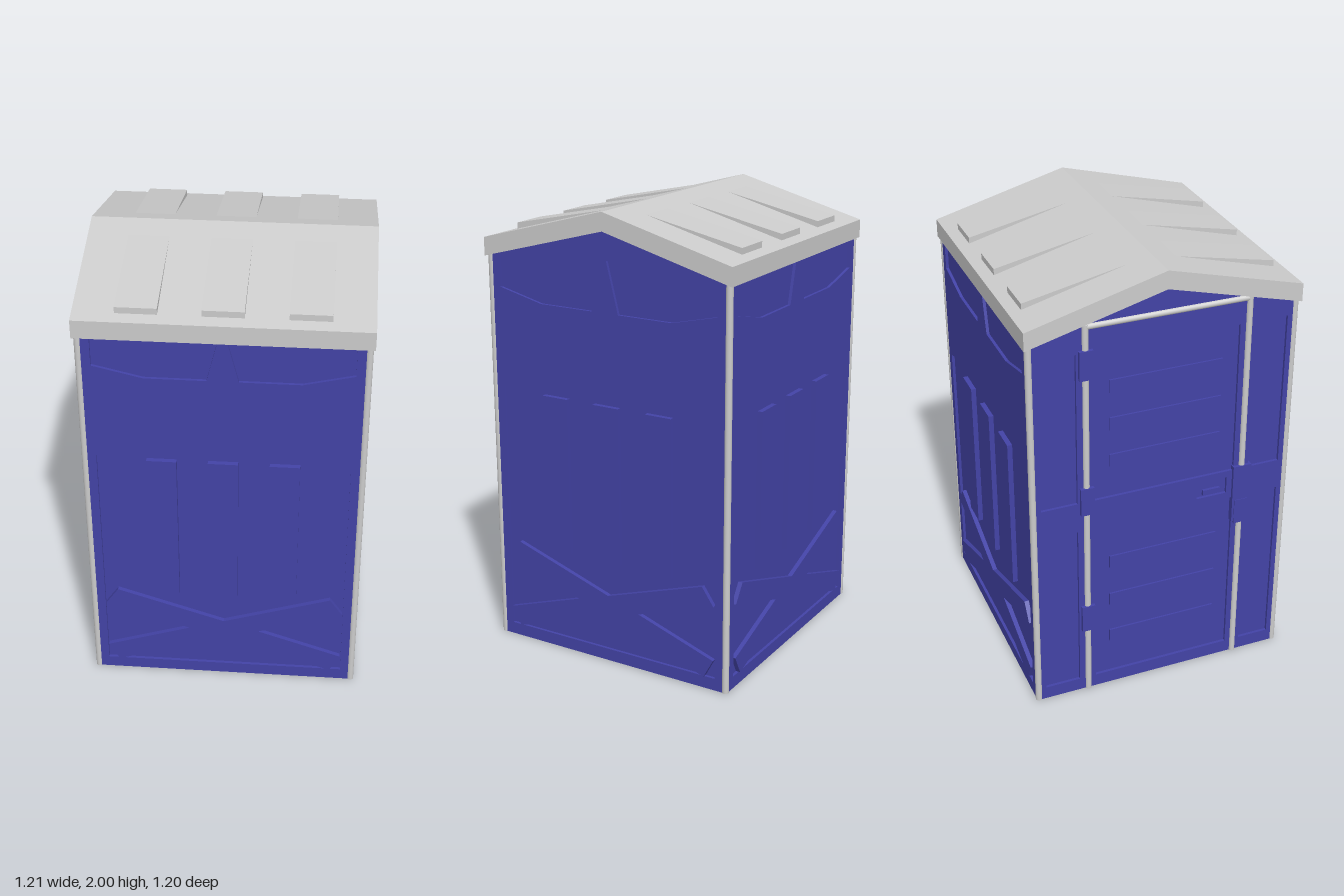
import * as THREE from 'three';

const grey = new THREE.MeshStandardMaterial({ color: 0xcccccc });
const blue = new THREE.MeshStandardMaterial({ color: 0x4343a6 });

const FLOOR = 0.575;  // recessed wall surface
const PLATE = 0.588;  // outer wall surface
const RAISED = 0.597; // ribs and braces

const toPoints = (pts) => pts.map(([x, y]) => new THREE.Vector2(x, y));
const rect = (x0, x1, y0, y1) => [[x0, y0], [x1, y0], [x1, y1], [x0, y1]];
const mirrorX = (pts) => pts.map(([x, y]) => [-x, y]).reverse();

function add(parent, name, geometry, material, x = 0, y = 0, z = 0) {
  const mesh = new THREE.Mesh(geometry, material);
  mesh.name = name;
  mesh.position.set(x, y, z);
  parent.add(mesh);
  return mesh;
}

// Flat outline extruded between two z depths
function slab(parent, name, outline, z0, z1, material, holes = []) {
  const shape = new THREE.Shape(toPoints(outline));
  holes.forEach((h) => shape.holes.push(new THREE.Path(toPoints(h))));
  const geometry = new THREE.ExtrudeGeometry(shape, { depth: z1 - z0, bevelEnabled: false });
  return add(parent, name, geometry, material, 0, 0, z0);
}

// Box given by its limits
function block(parent, name, [x0, x1], [y0, y1], [z0, z1], material) {
  return add(parent, name, new THREE.BoxGeometry(x1 - x0, y1 - y0, z1 - z0), material,
    (x0 + x1) / 2, (y0 + y1) / 2, (z0 + z1) / 2);
}

function wallOutline(gabled) {
  const outline = rect(-0.57, 0.57, 0, 1.775);
  if (gabled) outline.splice(3, 0, [0, 1.927]);
  return outline;
}

// Moulded wall: recessed fields, three ribs and a cross brace
function pressedWall(name, gabled) {
  const wall = new THREE.Group();
  wall.name = name;
  const top = gabled ? 1.8 : 1.77;
  const inner = gabled ? 0.01 : 0.017;
  const lower = [[-0.53, 0.055], [0.53, 0.055], [0.53, 1.19], [0.33, 1.24], [-0.33, 1.24], [-0.53, 1.19]];
  const upper = [[inner, top], [0.065, 1.58], [0.32, 1.58], [0.53, 1.63], [0.53, gabled ? 1.775 : top]];
  if (gabled) upper.push([0.43, top]);
  slab(wall, 'wallPlate', wallOutline(gabled), FLOOR, PLATE, blue, [lower, upper, mirrorX(upper)]);
  for (const x of [-0.2575, 0, 0.2575]) {
    slab(wall, 'wallRib', rect(x - 0.063, x + 0.063, 0.47, 1.18), FLOOR, RAISED, blue);
  }
  const half = [[0, 0.21], [0.48, 0.055], [0.525, 0.14], [0.155, 0.265], [0.525, 0.39], [0.47, 0.47], [0, 0.315]];
  const brace = [...half, ...mirrorX(half).slice(1, -1)];
  slab(wall, 'crossBrace', brace, FLOOR, RAISED - 0.002, blue);
  return wall;
}

// Door wall: framed door, hinges, latch and narrow side strips
function doorWall() {
  const wall = new THREE.Group();
  wall.name = 'doorWall';
  const holes = [];
  for (const [y0, y1] of [[0.06, 0.86], [1.0, 1.7]]) {
    holes.push(rect(-0.545, -0.385, y0, y1), rect(0.4, 0.545, y0, y1), rect(-0.31, 0.33, y0, y1));
    for (let i = 1; i < 4; i++) {
      const y = y0 + (y1 - y0) * i / 4;
      block(wall, 'doorRib', [-0.24, 0.26], [y - 0.03, y + 0.03], [FLOOR, 0.583], blue);
    }
  }
  holes.push(rect(0.16, 0.3, 0.89, 0.97)); // hand grip recess
  slab(wall, 'doorPlate', wallOutline(true), FLOOR, PLATE, blue, holes);
  block(wall, 'handle', [0.19, 0.27], [0.9, 0.925], [FLOOR, PLATE], blue);

  // Door frame bars
  for (const x of [-0.345, 0.368]) {
    add(wall, 'doorJamb', new THREE.CylinderGeometry(0.014, 0.014, 1.825, 16), grey, x, 0.9125, 0.586);
  }
  const lintel = add(wall, 'lintel', new THREE.CylinderGeometry(0.013, 0.013, 0.71, 16), grey, 0.0115, 1.815, 0.586);
  lintel.rotation.z = Math.PI / 2;

  for (const y of [0.4, 1.01, 1.65]) {
    block(wall, 'hinge', [-0.375, -0.315], [y - 0.065, y + 0.065], [FLOOR, 0.604], blue);
  }
  block(wall, 'latchPlate', [0.325, 0.41], [0.74, 1.02], [FLOOR, 0.602], blue);
  block(wall, 'latchCover', [0.335, 0.4], [0.73, 0.85], [FLOOR, 0.605], blue);
  return wall;
}

export function createModel() {
  const model = new THREE.Group();
  model.name = 'portableCabin';

  // Cabin core and floor
  const core = slab(model, 'cabinCore',
    [[-FLOOR, 0.01], [FLOOR, 0.01], [FLOOR, 1.77], [0, 1.925], [-FLOOR, 1.77]], -FLOOR, FLOOR, blue);
  core.rotation.y = Math.PI / 2;
  core.position.set(-FLOOR, 0, 0);
  block(model, 'floor', [-FLOOR, FLOOR], [0, 0.01], [-FLOOR, FLOOR], grey);

  // Four walls
  const walls = [
    [pressedWall('frontWall', false), 0],
    [pressedWall('backWall', false), Math.PI],
    [pressedWall('leftWall', true), Math.PI / 2],
    [doorWall(), -Math.PI / 2],
  ];
  for (const [wall, angle] of walls) {
    wall.rotation.y = angle;
    model.add(wall);
  }

  // Corner posts
  for (const sx of [-1, 1]) {
    for (const sz of [-1, 1]) {
      add(model, 'cornerPost', new THREE.CylinderGeometry(0.015, 0.015, 1.77, 16), grey, sx * 0.578, 0.885, sz * 0.578);
    }
  }

  // Gabled roof with tapered ribs on both slopes
  const roof = new THREE.Group();
  roof.name = 'roof';
  roof.rotation.y = Math.PI / 2;
  model.add(roof);
  slab(roof, 'roofShell',
    [[-0.6, 1.76], [0, 1.92], [0.6, 1.76], [0.6, 1.84], [0, 2], [-0.6, 1.84]], -0.6, 0.6, grey);
  const wedge = [[0.1, 1.973], [0.55, 1.85], [0.55, 1.88]];
  for (const x of [-0.345, 0, 0.345]) {
    slab(roof, 'roofRib', wedge, x - 0.085, x + 0.085, grey);
    slab(roof, 'roofRib', mirrorX(wedge), x - 0.085, x + 0.085, grey);
  }
  return model;
}
